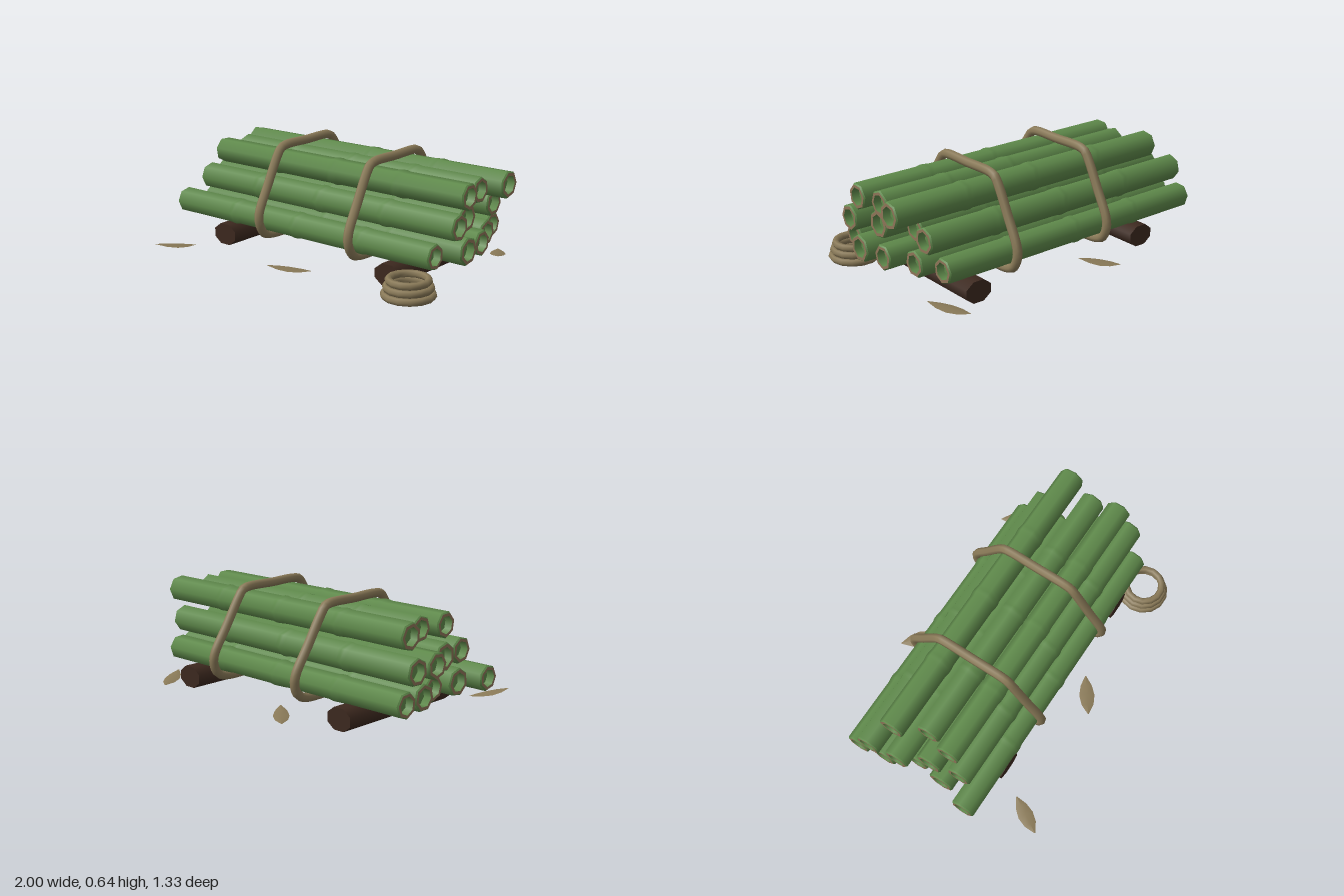
import * as THREE from 'three';

const mat = (name, color, double) => {
  const m = new THREE.MeshStandardMaterial({ color });
  m.name = name;
  if (double) m.side = THREE.DoubleSide;
  return m;
};

export function createModel() {
  const green = mat('stalk green', 0x5f8a4b);
  const rimTan = mat('cut rim tan', 0x8f7558);
  const ropeTan = mat('rope tan', 0x8a7a58, true);
  const bark = mat('dark wood', 0x3d291f);

  const model = new THREE.Group();
  model.name = 'poleBundle';

  const add = (parent, name, geometry, material) => {
    const mesh = new THREE.Mesh(geometry, material);
    mesh.name = name;
    parent.add(mesh);
    return mesh;
  };
  const lathe = (points, sides = 7) =>
    new THREE.LatheGeometry(points.map(([r, y]) => new THREE.Vector2(r, y)), sides);

  // Hollow seven-sided pole lying along x, with three slightly raised joints
  function pole(x0, x1, y, z, r, roll) {
    const g = new THREE.Group();
    g.name = 'pole';
    const h = (x1 - x0) / 2, bevel = 0.008;
    const profile = [[r, -h + bevel]];
    for (const t of [-0.5, 0, 0.5]) {
      const c = t * h;
      profile.push([r, c - 0.04], [r + 0.005, c - 0.012], [r + 0.005, c + 0.012], [r, c + 0.04]);
    }
    profile.push([r, h - bevel]);
    add(g, 'poleStalk', lathe(profile), green);

    const outer = r - 0.007, inner = r * 0.68, depth = 0.045;
    for (const turn of [0, Math.PI]) {
      const end = new THREE.Group();
      end.name = 'poleEnd';
      end.rotation.z = turn;
      add(end, 'endBevel', lathe([[r, h - bevel], [outer, h]]), green);
      add(end, 'cutRim', lathe([[outer, h], [inner, h]]), rimTan);
      add(end, 'hollowWall', lathe([[inner, h], [inner * 0.95, h - depth]]), green);
      add(end, 'hollowFloor', lathe([[inner * 0.95, h - depth], [0, h - depth]]), green);
      g.add(end);
    }
    g.rotation.set(0, roll, -Math.PI / 2, 'ZYX');
    g.position.set((x0 + x1) / 2, y, z);
    model.add(g);
  }

  // Stack of twelve: five, four, three  [x0, x1, y, z, radius]
  [
    [-0.985, 0.885, 0.205, 0.257, 0.074],
    [-0.925, 0.97, 0.208, 0.068, 0.080],
    [-0.90, 0.94, 0.205, -0.112, 0.075],
    [-0.98, 0.86, 0.208, -0.29, 0.077],
    [-1.0, 0.795, 0.205, -0.455, 0.074],
    [-0.87, 0.97, 0.36, 0.16, 0.076],
    [-0.90, 0.90, 0.36, -0.02, 0.082],
    [-0.98, 0.78, 0.358, -0.186, 0.077],
    [-1.0, 0.85, 0.363, -0.37, 0.077],
    [-0.83, 0.97, 0.51, 0.07, 0.076],
    [-0.79, 0.935, 0.508, -0.09, 0.075],
    [-0.875, 1.0, 0.512, -0.277, 0.079],
  ].forEach((p, i) => pole(...p, i * 0.37));

  // Two dark bearer logs underneath
  for (const x of [-0.597, 0.612]) {
    const log = new THREE.CylinderGeometry(0.089, 0.089, 0.85, 8, 1, false, Math.PI / 8);
    log.rotateX(Math.PI / 2);
    log.scale(1, 0.76, 1);
    add(model, 'bearerLog', log, bark).position.set(x, 0.0635, -0.105);
  }

  // Two rope ties around the stack, given as [z, y] corners
  const loop = [
    [0.09, 0.613], [-0.1, 0.613], [-0.295, 0.613], [-0.335, 0.6], [-0.367, 0.56],
    [-0.46, 0.402], [-0.545, 0.255], [-0.553, 0.2], [-0.53, 0.14], [-0.48, 0.112],
    [-0.1, 0.112], [0.27, 0.112], [0.32, 0.14], [0.345, 0.2], [0.34, 0.255],
    [0.25, 0.41], [0.157, 0.565], [0.128, 0.6],
  ];
  for (const x of [-0.302, 0.357]) {
    const path = new THREE.CatmullRomCurve3(
      loop.map(([z, y]) => new THREE.Vector3(x - 0.01 * Math.sin((y - 0.36) * 6), y, z)), true, 'centripetal');
    add(model, 'ropeTie', new THREE.TubeGeometry(path, 90, 0.027, 7, true), ropeTan);
  }

  // Spare rope coil made of three stacked rings
  [[0.132, 0.021], [0.121, 0.061], [0.108, 0.1]].forEach(([r, y]) => {
    const ring = new THREE.TorusGeometry(r, 0.021, 6, 14);
    ring.rotateX(Math.PI / 2);
    add(model, 'ropeCoil', ring, ropeTan).position.set(0.805, y, 0.388);
  });

  // Fallen leaves: a folded strip between two tips, sagging in the middle
  function leaf(from, to) {
    const a = new THREE.Vector3(...from), b = new THREE.Vector3(...to);
    const side = new THREE.Vector3(b.z - a.z, 0, a.x - b.x).normalize();
    const stations = [[0, 0.003], [0.25, 0.036], [0.5, 0.046], [0.75, 0.034], [1, 0.003]];
    const pos = [], index = [];
    stations.forEach(([t, w], i) => {
      for (const s of [-1, 0, 1]) {
        const p = a.clone().lerp(b, t).addScaledVector(side, s * w);
        p.y += (s ? 0 : 0.22 * w) - 0.008 * Math.sin(Math.PI * t);
        pos.push(p.x, Math.max(p.y, 0.002), p.z);
      }
      if (i) for (const k of [0, 1]) {
        const q = (i - 1) * 3 + k;
        index.push(q, q + 3, q + 1, q + 1, q + 3, q + 4);
      }
    });
    const geo = new THREE.BufferGeometry();
    geo.setAttribute('position', new THREE.Float32BufferAttribute(pos, 3));
    geo.setIndex(index);
    geo.computeVertexNormals();
    add(model, 'fallenLeaf', geo, ropeTan);
  }
  leaf([-0.84, 0.036, 0.66], [-0.715, 0.006, 0.45]);
  leaf([-0.065, 0.036, 0.535], [0.138, 0.006, 0.39]);
  leaf([-0.305, 0.006, -0.665], [-0.13, 0.038, -0.5]);
  leaf([0.735, 0.006, -0.62], [0.862, 0.038, -0.41]);

  return model;
}
